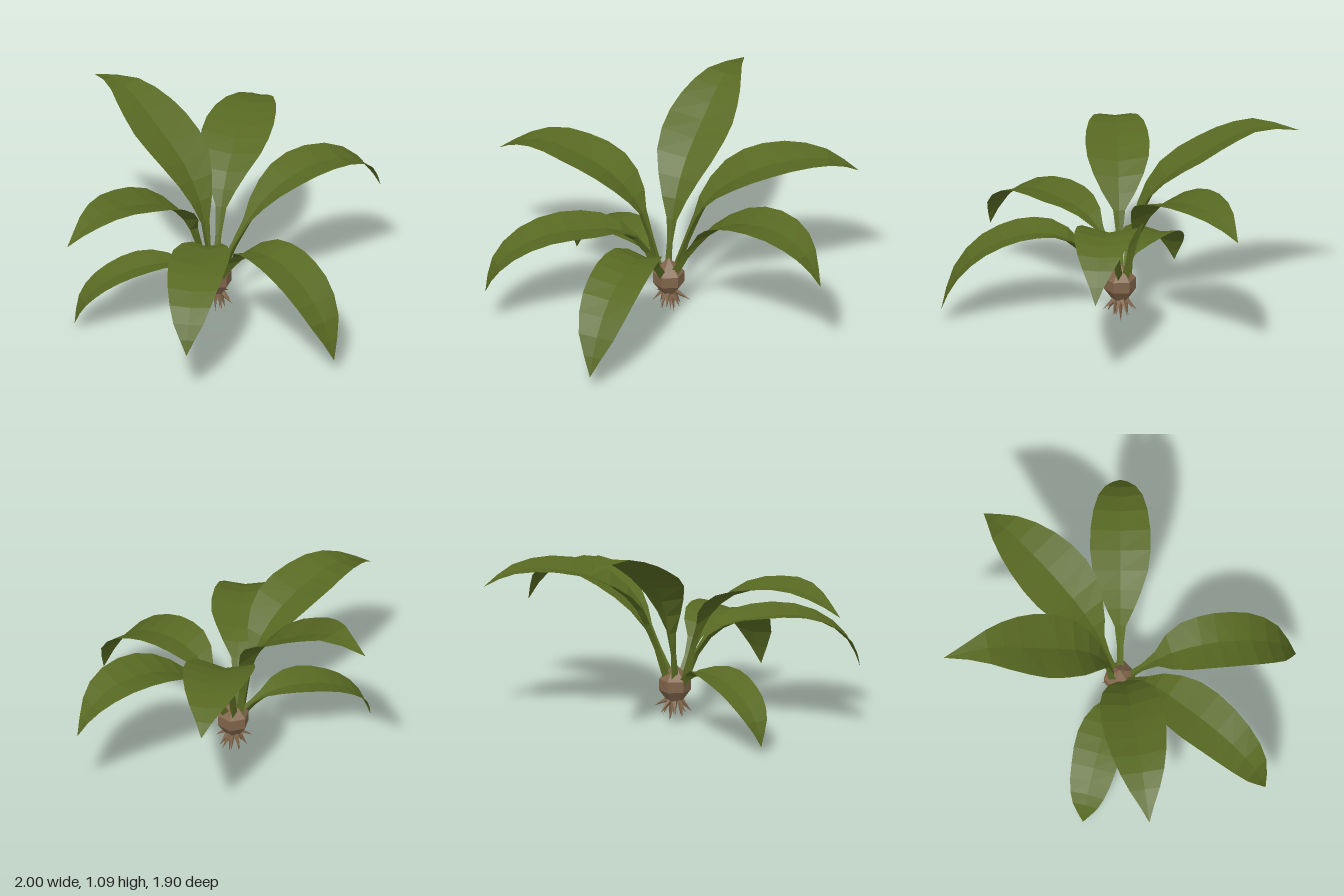
import * as THREE from 'three';

const green = new THREE.MeshStandardMaterial({ color: 0x586922 });
green.name = 'leaf green';
const brown = new THREE.MeshStandardMaterial({ color: 0x80654a });
brown.name = 'bulb brown';

const UP = new THREE.Vector3(0, 1, 0);

function faceted(geometry) {
  const g = geometry.index ? geometry.toNonIndexed() : geometry;
  g.computeVertexNormals();
  return g;
}

// Leaf and stalk in one strip, swept towards a tip in plan.
// Each profile point is [fraction of reach, height, half width].
function makeLeaf(name, tipX, tipZ, profile, rows = 12) {
  const reach = Math.hypot(tipX, tipZ);
  const dir = new THREE.Vector3(tipX, 0, tipZ).normalize();
  const side = new THREE.Vector3().crossVectors(UP, dir);
  const spine = new THREE.CatmullRomCurve3(
    profile.map(([t, y]) => dir.clone().multiplyScalar(t * reach).setY(y)));
  const widths = new THREE.SplineCurve(profile.map(([, , w], i) => new THREE.Vector2(i, w)));

  const sections = [];
  for (let i = 0; i <= rows; i++) {
    const u = i / rows;
    const p = spine.getPoint(u);
    const normal = new THREE.Vector3().crossVectors(spine.getTangent(u), side).normalize();
    const w = Math.max(widths.getPoint(u).y, 0.001);
    const fold = w * 0.32 * (1 - u * 0.8);
    const keel = 0.005 + 0.03 * Math.max(0, 1 - u * 2.4);
    const at = (s, n) => p.clone().addScaledVector(side, s).addScaledVector(normal, n);
    // one edge, midrib, other edge, underside keel
    sections.push([at(w, fold), at(0, 0), at(-w, fold), at(0, -keel * Math.min(1, w / 0.02))]);
  }

  const positions = [];
  const tri = (...pts) => pts.forEach((v) => positions.push(v.x, v.y, v.z));
  for (let i = 0; i < rows; i++) {
    const a = sections[i], b = sections[i + 1];
    for (let j = 0; j < 4; j++) {
      const k = (j + 1) % 4;
      tri(a[j], a[k], b[k]);
      tri(a[j], b[k], b[j]);
    }
  }
  const g = new THREE.BufferGeometry();
  g.setAttribute('position', new THREE.Float32BufferAttribute(positions, 3));
  const mesh = new THREE.Mesh(faceted(g), green);
  mesh.name = name;
  return mesh;
}

// Tapered root from one point to another
function makeRoot(from, to, radius) {
  const d = to.clone().sub(from);
  const g = new THREE.ConeGeometry(radius, d.length(), 4);
  const mesh = new THREE.Mesh(faceted(g), brown);
  mesh.position.copy(from).addScaledVector(d, 0.5);
  mesh.quaternion.setFromUnitVectors(UP, d.normalize());
  mesh.name = 'root';
  return mesh;
}

export function createModel() {
  const plant = new THREE.Group();
  plant.name = 'leafyPlant';

  // Leaves
  plant.add(
    makeLeaf('backLeaf', 0.02, -0.95, [
      [0.03, 0.24, 0.02], [0.07, 0.48, 0.022], [0.14, 0.66, 0.09], [0.27, 0.81, 0.165],
      [0.45, 0.92, 0.185], [0.62, 1.02, 0.15], [0.78, 1.08, 0.085], [1, 1.05, 0]]),
    makeLeaf('backLeftLeaf', 0.87, -0.55, [
      [0.04, 0.24, 0.02], [0.14, 0.52, 0.022], [0.22, 0.66, 0.09], [0.36, 0.77, 0.17],
      [0.52, 0.835, 0.185], [0.7, 0.865, 0.15], [0.87, 0.845, 0.08], [1, 0.77, 0]]),
    makeLeaf('leftLeaf', 1, 0.22, [
      [0.04, 0.24, 0.02], [0.18, 0.46, 0.022], [0.3, 0.59, 0.09], [0.45, 0.68, 0.15],
      [0.62, 0.725, 0.16], [0.8, 0.71, 0.13], [0.92, 0.63, 0.07], [1, 0.49, 0]]),
    makeLeaf('frontLeaf', -0.01, 0.95, [
      [0.05, 0.24, 0.02], [0.19, 0.39, 0.03], [0.33, 0.48, 0.12], [0.48, 0.5, 0.15],
      [0.64, 0.47, 0.155], [0.8, 0.39, 0.14], [0.93, 0.25, 0.09], [1, 0.08, 0]]),
    makeLeaf('frontRightLeaf', -0.77, 0.62, [
      [0.03, 0.24, 0.02], [0.15, 0.45, 0.022], [0.28, 0.53, 0.1], [0.45, 0.55, 0.155],
      [0.65, 0.55, 0.15], [0.83, 0.49, 0.12], [0.95, 0.38, 0.07], [1, 0.25, 0]]),
    makeLeaf('rightLeaf', -1, -0.06, [
      [0.04, 0.24, 0.02], [0.13, 0.53, 0.022], [0.22, 0.66, 0.11], [0.36, 0.76, 0.165],
      [0.54, 0.815, 0.165], [0.72, 0.84, 0.13], [0.87, 0.8, 0.07], [1, 0.72, 0]]),
    makeLeaf('backRightLeaf', -0.68, -0.35, [
      [0.05, 0.23, 0.02], [0.18, 0.3, 0.025], [0.35, 0.33, 0.1], [0.52, 0.325, 0.13],
      [0.7, 0.29, 0.12], [0.85, 0.23, 0.1], [0.95, 0.15, 0.06], [1, 0.04, 0]]));

  // Bulb with a small shoot on top
  const profile = [[0, 0.105], [0.045, 0.12], [0.085, 0.175], [0.085, 0.235], [0.045, 0.275], [0, 0.32]];
  const bulb = new THREE.Mesh(
    faceted(new THREE.LatheGeometry(profile.map(([r, y]) => new THREE.Vector2(r, y)), 6)), brown);
  bulb.position.x = 0.015;
  bulb.name = 'bulb';
  plant.add(bulb);

  // Roots spreading below the bulb
  const roots = new THREE.Group();
  roots.name = 'roots';
  const count = 14;
  for (let i = 0; i < count; i++) {
    const a = i * 2.4;
    const s = i / (count - 1);
    const r = 0.03 + 0.085 * s;
    const from = new THREE.Vector3(0.015 + Math.cos(a) * 0.022, 0.13, Math.sin(a) * 0.022);
    const to = new THREE.Vector3(0.015 + Math.cos(a) * r, 0.012 + 0.065 * s, Math.sin(a) * r);
    if (i === 0) to.y = 0;
    roots.add(makeRoot(from, to, 0.018));
  }
  plant.add(roots);
  return plant;
}
